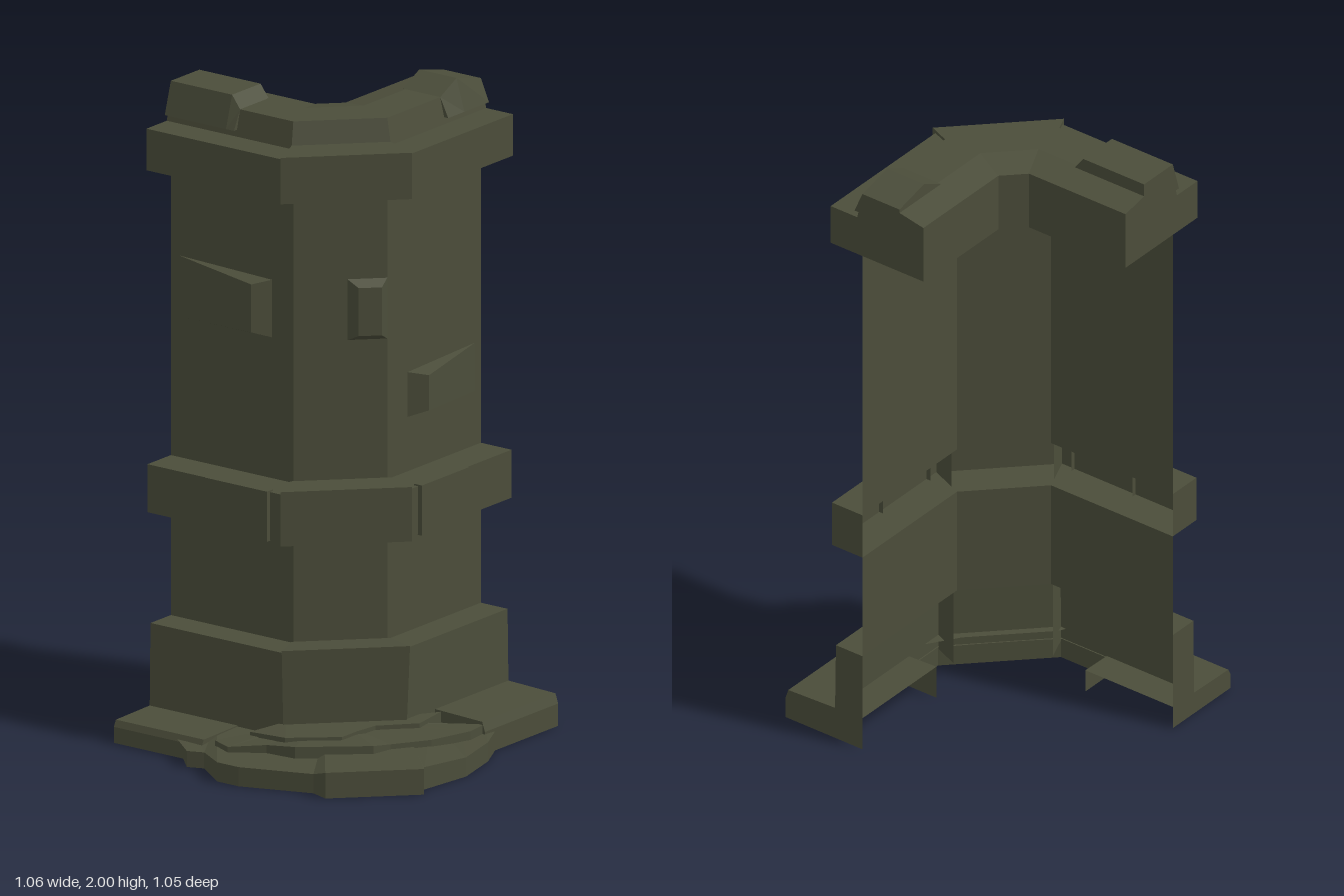
import * as THREE from 'three';
import { ConvexGeometry } from 'three/addons/geometries/ConvexGeometry.js';

const stone = new THREE.MeshStandardMaterial({ color: 0x4b4d3a, side: THREE.DoubleSide });
stone.name = 'mossy stone';
stone.flatShading = true;

const K = Math.tan(Math.PI / 8);
// the two wings mirror each other across the diagonal
const mirror = ([x, z, dy]) => [-z, -x, dy];

// plan paths at an outward offset d from the wall face
const full = (d) => {
  const front = [[0.53, 0.13 + d, 0], [0.07 - K * d, 0.13 + d, 0]];
  return [...front, mirror(front[1]), mirror(front[0])];
};
const corner = (d) => full(d).slice(1, 3);
// stations are [distance along wing, drop of the highest edge]
const frontWing = (...stations) => (d) => stations.map(([u, dy = 0]) => [u, 0.13 + d, dy]);
const sideWing = (...stations) => (d) => frontWing(...stations)(d).map(mirror);

function flat(name, tris) {
  const geo = new THREE.BufferGeometry();
  geo.setAttribute('position', new THREE.Float32BufferAttribute(tris.flat(), 3));
  geo.computeVertexNormals();
  const mesh = new THREE.Mesh(geo, stone);
  mesh.name = name;
  return mesh;
}

// joins rows of points with quads
function quads(rows) {
  const tris = [];
  for (let i = 0; i < rows.length - 1; i++) {
    for (let j = 0; j < rows[i].length - 1; j++) {
      const a = rows[i][j], b = rows[i][j + 1], c = rows[i + 1][j + 1], e = rows[i + 1][j];
      tris.push(a, e, b, b, e, c);
    }
  }
  return tris;
}

// sweeps a convex profile of [offset, y]; sides = how many edges get a surface
function sweep(name, path, profile, sides = profile.length, ends = true) {
  const rows = profile.map(([d, y]) =>
    path(d).map(([x, z, dy]) => [x, y > 1.97 ? y + dy : y, z]));
  const tris = quads([...rows, rows[0]].slice(0, sides + 1));
  if (ends) {
    const last = rows[0].length - 1;
    for (let i = 1; i < rows.length - 1; i++) {
      tris.push(rows[0][0], rows[i][0], rows[i + 1][0]);
      tris.push(rows[0][last], rows[i + 1][last], rows[i][last]);
    }
  }
  return flat(name, tris);
}

const band = (d0, d1, y0, y1) => [[d0, y1], [d1, y1], [d1, y0], [d0, y0]];

// hollow rubble layer: outline of [x, z, y] with a top running back to the wall
function rubble(name, outline, inner, yBottom, yInner) {
  const pts = inner.map(([x, z]) => new THREE.Vector3(x, 0, z));
  const path = new THREE.CurvePath();
  for (let i = 0; i < pts.length - 1; i++) path.add(new THREE.LineCurve3(pts[i], pts[i + 1]));
  const back = outline.map((_, i) => {
    const p = path.getPointAt(i / (outline.length - 1));
    return [p.x, yInner, p.z];
  });
  return flat(name, quads([
    back,
    outline.map(([x, z, y]) => [x, y, z]),
    outline.map(([x, z]) => [x, yBottom, z]),
  ]));
}

// protruding stone, fading into the wall along its length
function brick(name, place, points) {
  const geo = new ConvexGeometry(points.map(([u, y, out]) => {
    const [x, z] = place(u, out);
    return new THREE.Vector3(x, y, z);
  }));
  const mesh = new THREE.Mesh(geo, stone);
  mesh.name = name;
  return mesh;
}

export function createModel() {
  const g = new THREE.Group();
  g.name = 'ruinedTowerCorner';

  // wall sheets between the bands
  g.add(sweep('upperWall', full, [[0, 1.75], [0, 0.83]], 1, false));
  g.add(sweep('lowerWall', full, [[0, 0.68], [0, 0.33]], 1, false));

  // top cornice, upper course and raised blocks
  g.add(sweep('cornice', full, band(-0.23, 0.12, 1.75, 1.88)));
  g.add(sweep('cornerCornice', corner, band(-0.1, 0.135, 1.745, 1.89)));
  g.add(sweep('upperCourse', full,
    [[-0.23, 1.94], [-0.13, 1.96], [0, 1.96], [0.02, 1.88], [-0.23, 1.88]]));
  const raised = [[-0.14, 2.0], [0, 2.0], [0.03, 1.9], [-0.14, 1.9]];
  g.add(sweep('frontBlock', frontWing([0.53, -0.03], [0.41, 0], [0.33, -0.04]), raised));
  g.add(sweep('sideBlock', sideWing([0.53, 0], [0.3, 0], [0.27, -0.04]), raised));

  // middle band, hollow on the inside
  g.add(sweep('middleBand', full, band(0, 0.115, 0.68, 0.83), 3));
  g.add(sweep('middleCornerStone', corner, band(0.03, 0.135, 0.675, 0.845), 3));
  for (const [name, wing] of [['Front', frontWing], ['Side', sideWing]]) {
    g.add(sweep('middle' + name + 'Stone', wing([0.3], [0.07]), band(0.1, 0.13, 0.678, 0.835), 3));
  }

  // footing, open underneath
  g.add(sweep('footing', full, [[0, 0.33], [0.1, 0.33], [0.105, 0], [0, 0]], 2));
  g.add(sweep('footingCorner', corner, [[0.02, 0.34], [0.125, 0.345], [0.105, 0.06], [0.02, 0.06]], 2));
  g.add(sweep('frontPlinth', frontWing([0.53], [0.17]),
    [[0, 0.11], [0.28, 0.1], [0.29, 0.07], [0.29, 0], [0, 0]], 3));
  g.add(sweep('sidePlinth', sideWing([0.53], [0.2]),
    [[0, 0.075], [0.27, 0.07], [0.28, 0.05], [0.28, 0], [0, 0]], 3));

  // rubble spilling round the outer corner
  g.add(rubble('rubbleBottom', [
    [0.22, 0.42, 0.06], [0.12, 0.47, 0.06], [-0.04, 0.51, 0.06], [-0.22, 0.49, 0.07],
    [-0.26, 0.52, 0.08], [-0.47, 0.31, 0.08], [-0.45, 0.25, 0.06], [-0.53, 0.03, 0.06],
    [-0.53, -0.05, 0.06], [-0.45, -0.16, 0.05], [-0.47, -0.21, 0.05], [-0.41, -0.27, 0.05],
  ], full(0.1), 0, 0.07));
  g.add(rubble('rubbleMiddle', [
    [0.18, 0.41, 0.09], [0.1, 0.42, 0.09], [-0.04, 0.38, 0.09], [-0.15, 0.31, 0.09],
    [-0.22, 0.3, 0.1], [-0.37, 0.12, 0.1], [-0.38, 0.02, 0.09], [-0.44, -0.08, 0.08],
    [-0.41, -0.15, 0.08],
  ], corner(0.1), 0.04, 0.1));
  g.add(rubble('rubbleTop', [
    [0.15, 0.27, 0.11], [0.02, 0.29, 0.11], [-0.08, 0.2, 0.11], [-0.16, 0.19, 0.11],
    [-0.23, 0.19, 0.11], [-0.34, 0.06, 0.11], [-0.33, -0.08, 0.1],
  ], corner(0.08), 0.07, 0.11));

  // odd stones standing out of the wall
  const onFront = (u, out) => [u, 0.13 + out];
  const onSide = (u, out) => mirror(onFront(u, out));
  const onCorner = (u, out) => [0.07 - (u + out) * Math.SQRT1_2, 0.13 + (out - u) * Math.SQRT1_2];
  const wedge = (u, y0, y1) => [
    [u, y0, 0], [u, y1, 0], [0.5, y0, 0], [0.5, y1 + 0.01, 0],
    [u + 0.04, y0 + 0.02, 0.05], [u + 0.04, y1 - 0.01, 0.05],
  ];
  g.add(brick('frontStone', onFront, wedge(0.17, 1.0, 1.14)));
  g.add(brick('sideStone', onSide, wedge(0.15, 1.27, 1.45)));
  g.add(brick('cornerStone', onCorner, [
    [0, 1.27, 0], [0, 1.46, 0], [0.12, 1.27, 0], [0.12, 1.46, 0],
    [0.02, 1.29, 0.03], [0.02, 1.44, 0.03], [0.09, 1.29, 0.03], [0.09, 1.44, 0.03],
  ]));
  return g;
}
